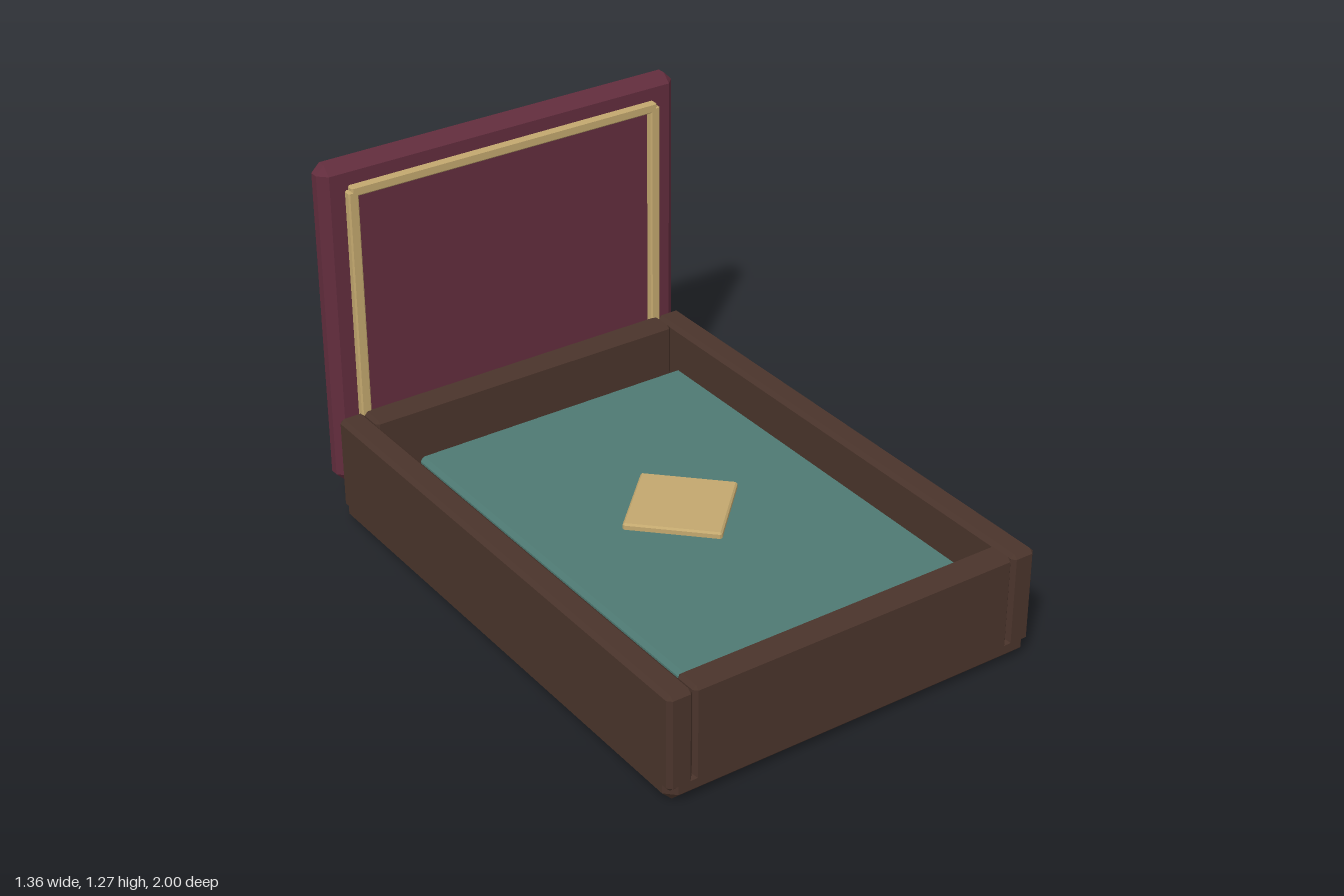
import * as THREE from 'three';
import { ConvexGeometry } from 'three/addons/geometries/ConvexGeometry.js';

const paint = (name, color) => {
  const m = new THREE.MeshStandardMaterial({ color });
  m.name = name;
  return m;
};

// Box with every edge cut at 45 degrees, as the hull of its 24 corner points
function chamferBox(w, h, d, c) {
  const half = [w / 2, h / 2, d / 2];
  const points = [];
  for (const sx of [-1, 1]) for (const sy of [-1, 1]) for (const sz of [-1, 1]) {
    for (let axis = 0; axis < 3; axis++) {
      const p = half.map((v, i) => (i === axis ? v : v - c));
      points.push(new THREE.Vector3(sx * p[0], sy * p[1], sz * p[2]));
    }
  }
  return new ConvexGeometry(points);
}

export function createModel() {
  const model = new THREE.Group();
  model.name = 'openBox';
  const wood = paint('dark wood', 0x4a342b);
  const lidPaint = paint('burgundy', 0x622d3d);
  const brass = paint('pale gold', 0xc2a76e);
  const felt = paint('teal felt', 0x4e7972);

  // Adds a chamfered box given by its lower and upper limits on each axis
  function part(name, material, [x0, x1], [y0, y1], [z0, z1], chamfer, parent = model) {
    const mesh = new THREE.Mesh(chamferBox(x1 - x0, y1 - y0, z1 - z0, chamfer), material);
    mesh.position.set((x0 + x1) / 2, (y0 + y1) / 2, (z0 + z1) / 2);
    mesh.name = name;
    parent.add(mesh);
    return mesh;
  }

  // Tray: bottom slab and four walls meeting in fine V grooves
  part('trayBottom', wood, [-0.68, 0.68], [0, 0.1], [-0.9, 1], 0.034);
  const wallY = [0.05, 0.385];
  part('leftWall', wood, [0.59, 0.68], wallY, [-0.9, 1], 0.014);
  part('rightWall', wood, [-0.68, -0.59], wallY, [-0.9, 1], 0.014);
  part('frontWall', wood, [-0.59, 0.59], wallY, [0.905, 1], 0.012);
  part('backWall', wood, [-0.59, 0.59], wallY, [-0.9, -0.805], 0.012);

  // Padded lining with a diamond plate on top
  part('liningPad', felt, [-0.52, 0.52], [0.09, 0.305], [-0.66, 0.85], 0.014);
  const diamond = part('diamondPlate', brass, [-0.158, 0.158], [0.298, 0.326], [-0.068, 0.248], 0.006);
  diamond.rotation.y = Math.PI / 4;

  // Upright lid with a trim frame on its inner face
  const lid = new THREE.Group();
  lid.name = 'lid';
  model.add(lid);
  part('lidPanel', lidPaint, [-0.68, 0.68], [0.12, 1.275], [-1, -0.91], 0.03, lid);
  const trimZ = [-0.915, -0.885];
  part('topTrim', brass, [-0.585, 0.585], [1.165, 1.2], trimZ, 0.005, lid);
  part('bottomTrim', brass, [-0.585, 0.585], [0.195, 0.23], trimZ, 0.005, lid);
  for (const s of [-1, 1]) {
    const x = s > 0 ? [0.56, 0.597] : [-0.597, -0.56];
    part('sideTrim', brass, x, [0.21, 1.185], trimZ, 0.005, lid);
    // Hinge leaves joining lid and tray
    part('hinge', brass, s > 0 ? [0.3, 0.54] : [-0.54, -0.3], [0.108, 0.17], [-0.925, -0.89], 0.006);
  }
  return model;
}
